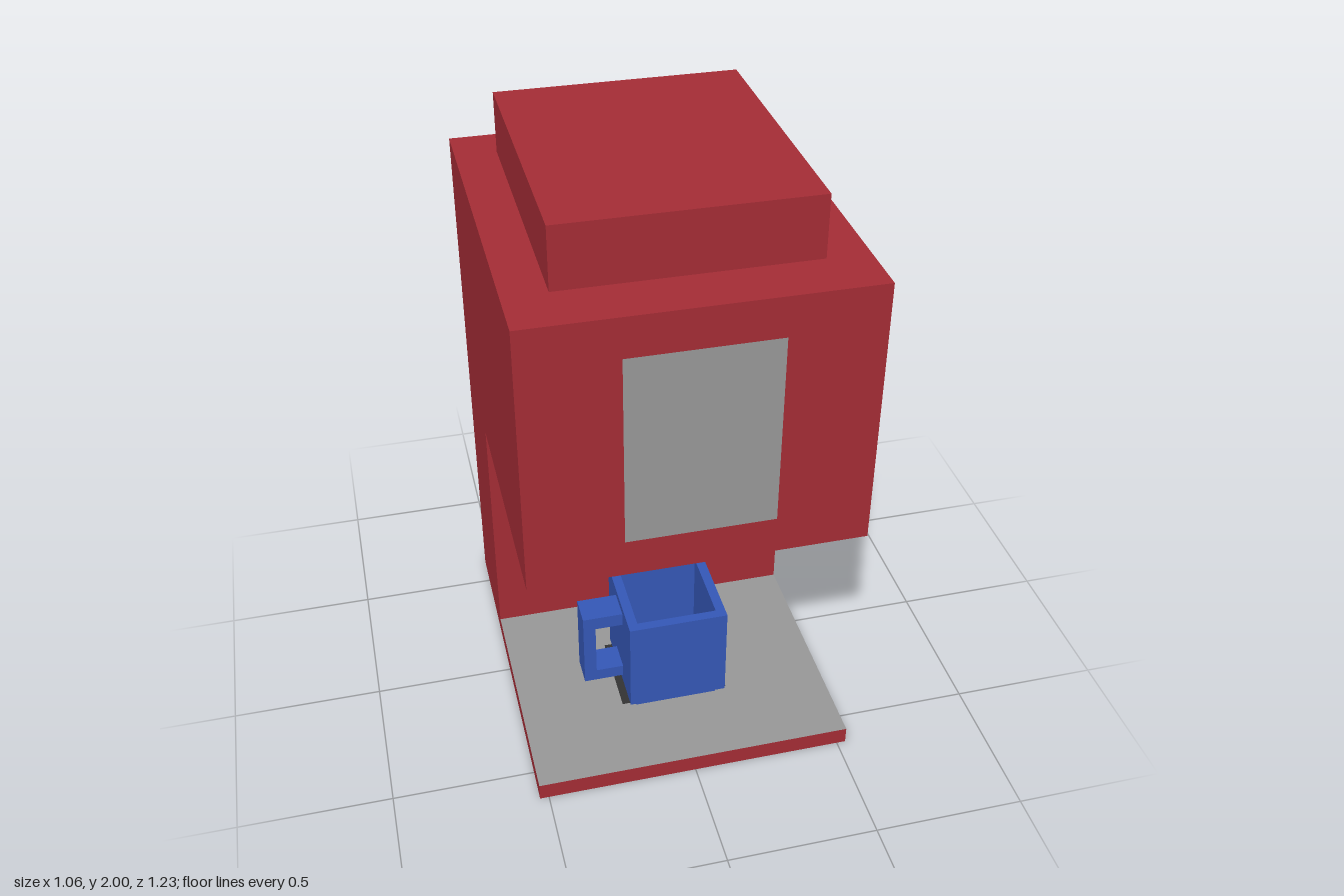
import * as THREE from 'three';

const mat = (color) => new THREE.MeshStandardMaterial({ color });

export function createModel() {
  const model = new THREE.Group();
  const red = mat(0xa62d36), grey = mat(0x999999), dark = mat(0x333333), blue = mat(0x3558b8);

  // Box from its limits; material may be a list: +x, -x, top, bottom, front, back
  function box(name, [x0, x1], [y0, y1], [z0, z1], material, parent = model) {
    const mesh = new THREE.Mesh(new THREE.BoxGeometry(x1 - x0, y1 - y0, z1 - z0), material);
    mesh.position.set((x0 + x1) / 2, (y0 + y1) / 2, (z0 + z1) / 2);
    mesh.name = name;
    parent.add(mesh);
    return mesh;
  }

  // Housing: tray base, rear column, overhanging head and lid
  const width = [-0.53, 0.53];
  box('base', width, [0, 0.06], [-0.615, 0.615], [red, red, grey, grey, red, dark]);
  box('column', width, [0.06, 0.91], [-0.615, -0.205], [red, red, red, red, red, dark]);
  box('head', width, [0.91, 1.8], [-0.615, 0.615], [red, red, red, dark, red, dark]);
  box('lid', [-0.395, 0.395], [1.8, 2], [-0.48, 0.44], red);
  box('nozzle', [-0.11, 0.11], [0.785, 0.91], [0.095, 0.315], dark);

  // Flat panels: display on the head, drip grate on the tray
  const display = new THREE.Mesh(new THREE.PlaneGeometry(0.465, 0.635), grey);
  display.name = 'frontPanel';
  display.position.set(0, 1.353, 0.617);
  model.add(display);

  const grate = new THREE.Mesh(new THREE.PlaneGeometry(0.37, 0.3), dark);
  grate.name = 'dripGrate';
  grate.rotation.x = -Math.PI / 2;
  grate.position.set(0, 0.063, 0.175);
  model.add(grate);

  // Mug: square open cup on a foot, with a bracket handle
  const mug = new THREE.Group();
  mug.name = 'mug';
  mug.position.z = 0.207;
  model.add(mug);
  const square = (h) => [[-h, -h], [h, -h], [h, h], [-h, h]].map(([x, y]) => new THREE.Vector2(x, y));
  const rim = new THREE.Shape(square(0.167));
  rim.holes.push(new THREE.Path(square(0.135)));
  const walls = new THREE.Mesh(
    new THREE.ExtrudeGeometry(rim, { depth: 0.34, bevelEnabled: false }).rotateX(-Math.PI / 2), blue);
  walls.name = 'mugWalls';
  walls.position.y = 0.105;
  mug.add(walls);
  box('mugFloor', [-0.135, 0.135], [0.105, 0.14], [-0.135, 0.135], blue, mug);
  box('mugFoot', [-0.14, 0.14], [0.072, 0.105], [-0.14, 0.14], blue, mug);

  const bracket = new THREE.Shape([
    [-0.167, 0.135], [-0.167, 0.178], [-0.26, 0.178], [-0.26, 0.37],
    [-0.167, 0.37], [-0.167, 0.418], [-0.302, 0.418], [-0.302, 0.135],
  ].map(([x, y]) => new THREE.Vector2(x, y)));
  const handle = new THREE.Mesh(
    new THREE.ExtrudeGeometry(bracket, { depth: 0.1, bevelEnabled: false }), blue);
  handle.name = 'mugHandle';
  handle.position.z = -0.05;
  mug.add(handle);

  return model;
}
